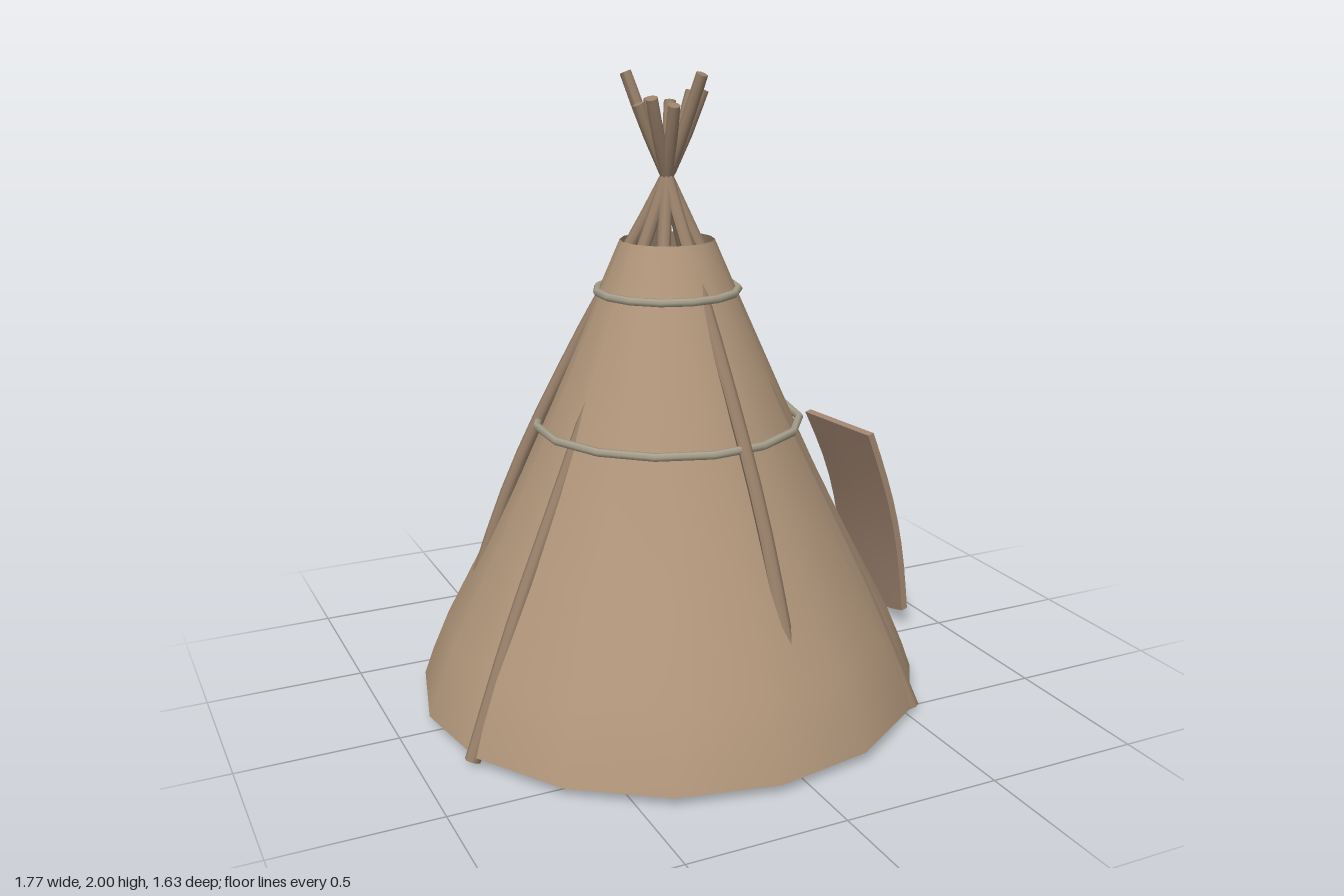
import * as THREE from 'three';

const rad = THREE.MathUtils.degToRad;
const CX = -0.08, CZ = -0.01;
const V2 = (x, y) => new THREE.Vector2(x, y);
const mat = (color, side = THREE.FrontSide) => new THREE.MeshStandardMaterial({ color, side });

function add(parent, name, geometry, material) {
  const mesh = new THREE.Mesh(geometry, material);
  mesh.name = name;
  parent.add(mesh);
  return mesh;
}

// Bent pole: a cylinder whose axis follows a profile of (radius, height) points
function poleGeometry(points) {
  const curve = new THREE.SplineCurve(points);
  const geo = new THREE.CylinderGeometry(0.019, 0.024, 1, 8, 16);
  const pos = geo.attributes.position;
  for (let i = 0; i < pos.count; i++) {
    const t = THREE.MathUtils.clamp(pos.getY(i) + 0.5, 0, 1);
    const p = curve.getPoint(t), d = curve.getTangent(t), x = pos.getX(i);
    pos.setXYZ(i, p.x + d.y * x, p.y - d.x * x, pos.getZ(i));
  }
  geo.computeVertexNormals();
  return geo;
}

// Loose door flap: thin box bent into a leaning, slightly bulged sheet
function flapGeometry() {
  const geo = new THREE.BoxGeometry(0.022, 1, 1, 1, 8, 6);
  const pos = geo.attributes.position;
  for (let i = 0; i < pos.count; i++) {
    const v = pos.getY(i) + 0.5, u = pos.getZ(i) + 0.5;
    const side = pos.getX(i);
    const lean = THREE.MathUtils.lerp(0.852 + 0.012 * u, 0.652 + 0.045 * u, v);
    const bulge = 0.03 * Math.sin(Math.PI * v);
    const dip = 0.03 * Math.sin(Math.PI * u) * (1 - v);
    pos.setXYZ(i,
      lean + bulge + side,
      0.07 + 0.68 * v - dip + side * 0.3,
      -0.38 + 0.355 * u - 0.012 * Math.sin(Math.PI * 2 * v) * (1 - u));
  }
  geo.computeVertexNormals();
  return geo;
}

export function createModel() {
  const model = new THREE.Group();
  const tent = new THREE.Group();
  tent.name = 'tent';
  tent.position.set(CX, 0, CZ);
  model.add(tent);

  const cloth = mat(0xb0957a, THREE.DoubleSide);
  const wood = mat(0x98806a);
  const rope = mat(0xa8a08c);

  // Cover: wraps round from one side of the doorway to the other
  const profile = [
    V2(0.812, 0.03), V2(0.78, 0.12), V2(0.725, 0.25), V2(0.58, 0.53),
    V2(0.468, 0.76), V2(0.40, 0.91), V2(0.215, 1.33), V2(0.147, 1.487),
  ];
  const doorStart = rad(90), doorWidth = rad(41);
  add(tent, 'cover', new THREE.LatheGeometry(
    profile, 14, doorStart + doorWidth, Math.PI * 2 - doorWidth), cloth);
  // Cover above the doorway
  add(tent, 'coverOverDoor', new THREE.LatheGeometry(
    profile.slice(4), 2, doorStart, doorWidth), cloth);

  // Ropes round the cover
  for (const [name, radius, y] of [['lowerRope', 0.42, 0.912], ['upperRope', 0.222, 1.33]]) {
    const ring = add(tent, name, new THREE.TorusGeometry(radius, 0.013, 6, 15), rope);
    ring.rotation.x = Math.PI / 2;
    ring.position.y = y;
  }

  // Poles: how far each leans out (radius at four heights) and how high it ends
  const outer = [V2(0.81, 0.012), V2(0.64, 0.4), V2(0.412, 0.85)];
  const pushed = [V2(0.76, 0.012), V2(0.65, 0.3), V2(0.495, 0.73), V2(0.292, 1.15)];
  const inner = [V2(0.76, 0.012), V2(0.6, 0.4), V2(0.385, 0.85)];
  const footOnly = [V2(0.82, 0.012), V2(0.6, 0.4), V2(0.385, 0.85)];
  const lower = [outer, outer, pushed, inner, outer, pushed, footOnly, outer, outer];
  const tops = [1.9, 1.99, 1.91, 1.9, 1.93, 1.94, 1.99, 1.9, 1.92];
  lower.forEach((points, i) => {
    const top = tops[i];
    const path = [...points, V2(0, 1.68), V2(-0.42 * (top - 1.68), top)];
    const pole = add(tent, 'pole' + (i + 1), poleGeometry(path), wood);
    pole.rotation.y = -rad(40 * i + 1);
  });

  // Door flap held away from the doorway
  add(model, 'doorFlap', flapGeometry(), mat(0xa08470, THREE.DoubleSide));

  return model;
}
